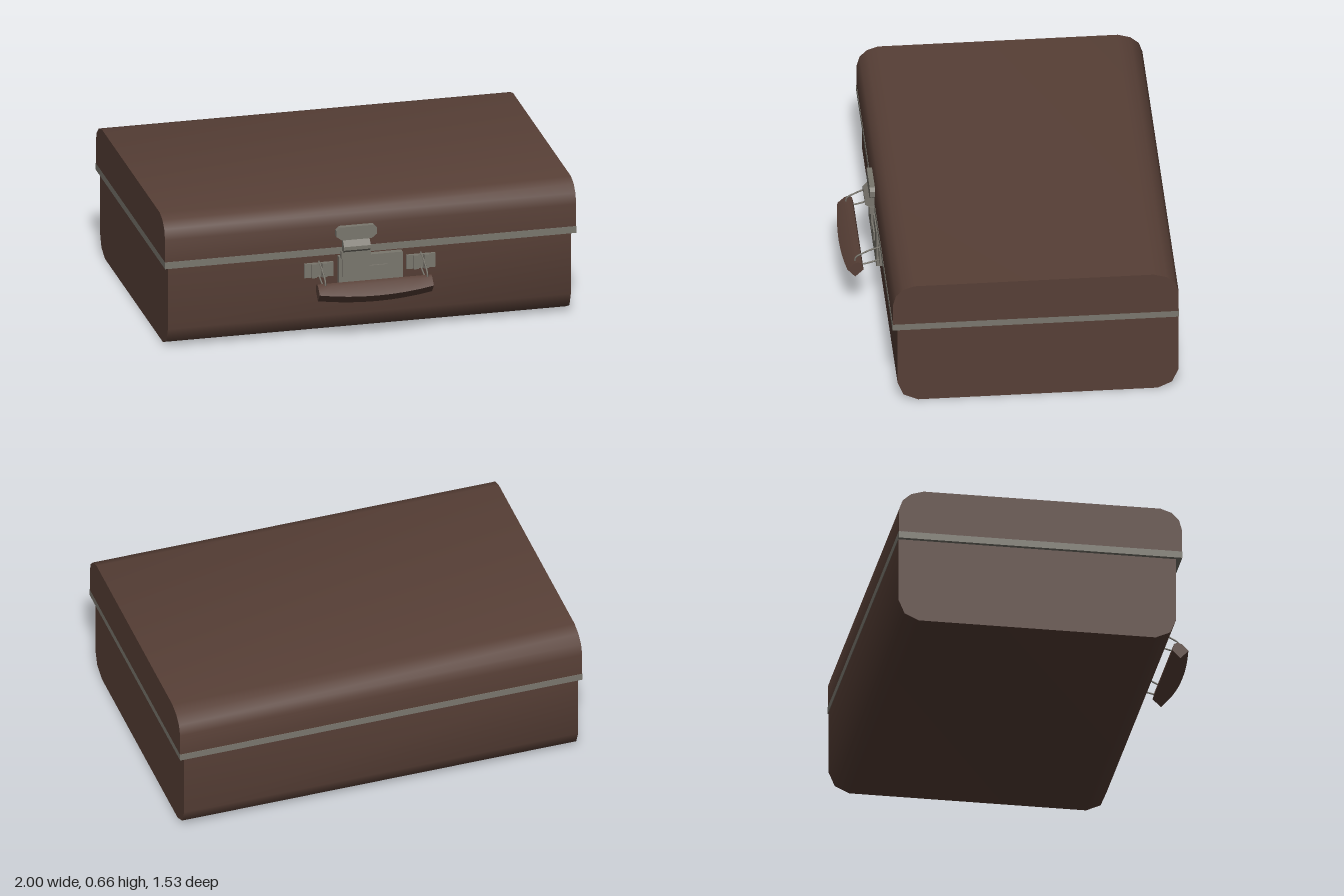
import * as THREE from 'three';
import { toCreasedNormals } from 'three/addons/utils/BufferGeometryUtils.js';

const leather = new THREE.MeshStandardMaterial({ color: 0x573f36 });
leather.name = 'brown leather';
const metal = new THREE.MeshStandardMaterial({ color: 0x7a776e });
metal.name = 'grey metal';

export function createModel() {
  const model = new THREE.Group();
  model.name = 'suitcase';

  const add = (name, geometry, material, parent = model) => {
    const mesh = new THREE.Mesh(geometry, material);
    mesh.name = name;
    parent.add(mesh);
    return mesh;
  };

  // Side profile of [z, y] points, drawn out from x0 to x1
  const prism = (points, x0, x1, steps = 1) => {
    const shape = new THREE.Shape(points.map(([z, y]) => new THREE.Vector2(z, y)));
    const g = new THREE.ExtrudeGeometry(shape, { depth: x1 - x0, steps, bevelEnabled: false });
    return g.rotateY(-Math.PI / 2).translate(x1, 0, 0);
  };

  const box = (name, x0, x1, y0, y1, z0, z1, parent) => {
    const g = new THREE.BoxGeometry(x1 - x0, y1 - y0, z1 - z0);
    g.translate((x0 + x1) / 2, (y0 + y1) / 2, (z0 + z1) / 2);
    return add(name, g, metal, parent);
  };

  // Lower case with rounded bottom edges
  add('lowerCase', toCreasedNormals(prism([
    [-0.762, 0.42], [-0.762, 0.1], [-0.733, 0.032], [-0.665, 0],
    [0.47, 0], [0.54, 0.032], [0.568, 0.1], [0.568, 0.42],
  ], -0.98, 0.98), 0.9), leather);

  // Lid with rounded top edges
  add('lid', toCreasedNormals(prism([
    [-0.762, 0.448], [-0.762, 0.56], [-0.745, 0.61], [-0.705, 0.645], [-0.645, 0.663],
    [0.49, 0.663], [0.543, 0.645], [0.578, 0.61], [0.592, 0.56], [0.592, 0.448],
  ], -1, 1), 0.9), leather);

  // Metal band around the lid opening
  box('lidTrim', -1, 1, 0.415, 0.449, -0.764, 0.594);

  // Central latch
  const latch = new THREE.Group();
  latch.name = 'latch';
  model.add(latch);
  box('latchBase', -0.155, 0.155, 0.203, 0.4, 0.56, 0.598, latch);
  box('latchBlock', -0.03, 0.08, 0.3, 0.347, 0.59, 0.606, latch);
  add('latchHasp', prism([
    [0.585, 0.3], [0.61, 0.3], [0.61, 0.425], [0.637, 0.445],
    [0.637, 0.463], [0.612, 0.49], [0.612, 0.51], [0.585, 0.51],
  ], -0.14, -0.01), metal, latch);
  box('haspRim', -0.147, -0.003, 0.395, 0.432, 0.585, 0.616, latch);

  // Thumb tab with clipped corners
  const tab = new THREE.Shape([
    [-0.145, 0.49], [0, 0.49], [0.025, 0.51], [0.025, 0.54],
    [0.01, 0.556], [-0.155, 0.556], [-0.172, 0.54], [-0.172, 0.51],
  ].map(([x, y]) => new THREE.Vector2(x, y)));
  add('thumbTab', new THREE.ExtrudeGeometry(tab, { depth: 0.03, bevelEnabled: false })
    .translate(0, 0, 0.587), metal, latch);

  // Handle brackets and wire links on both sides
  for (const side of [-1, 1]) {
    const mount = new THREE.Group();
    mount.name = side > 0 ? 'leftHandleMount' : 'rightHandleMount';
    model.add(mount);
    const c = side * 0.248;
    box('bracketPlate', c - 0.071, c + 0.071, 0.302, 0.372, 0.56, 0.581, mount);
    for (const dx of [-0.025, 0.025]) {
      box('bracketRib', c + dx - 0.012, c + dx + 0.012, 0.302, 0.372, 0.575, 0.592, mount);
    }
    const path = new THREE.CatmullRomCurve3([
      [0.575, 0.38], [0.63, 0.365], [0.695, 0.333], [0.708, 0.315], [0.7, 0.285],
      [0.66, 0.286], [0.575, 0.31],
    ].map(([z, y]) => new THREE.Vector3(c, y, z)), false, 'catmullrom', 0.3);
    add('wireLink', new THREE.TubeGeometry(path, 24, 0.004, 6), metal, mount);
  }

  // Grip, bowed outward along its lower face
  const grip = prism([
    [0.668, 0.268], [0.708, 0.23], [0.745, 0.272], [0.713, 0.303], [0.695, 0.31], [0.676, 0.302],
  ], -0.285, 0.27, 8);
  const p = grip.attributes.position;
  for (let i = 0; i < p.count; i++) {
    const t = (p.getX(i) + 0.0075) / 0.2775;
    const outer = THREE.MathUtils.clamp((p.getZ(i) - p.getY(i) - 0.4) / 0.07, 0, 1);
    const bow = 0.018 * (1 - t * t) * outer;
    p.setZ(i, p.getZ(i) + bow);
    p.setY(i, p.getY(i) - bow);
  }
  add('handleGrip', toCreasedNormals(grip, 0.6), leather);

  return model;
}
